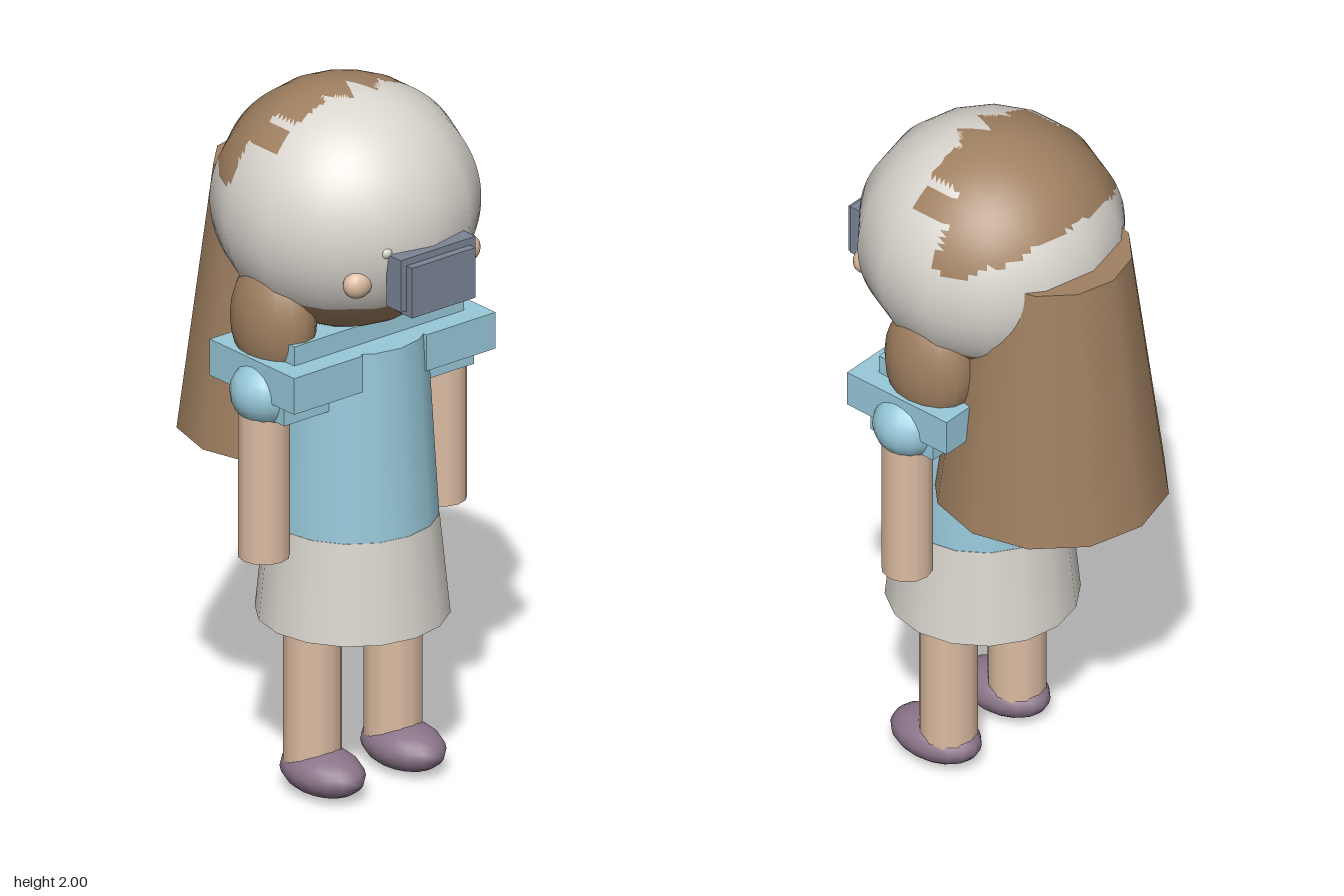
import * as THREE from 'three';

const mat = (name, color) => {
  const m = new THREE.MeshStandardMaterial({ color });
  m.name = name;
  return m;
};

export function createModel() {
  const group = new THREE.Group();
  const white = mat('offWhite', 0xdad6cf);
  const brown = mat('hairBrown', 0xa08061);
  const blue = mat('shirtBlue', 0x98c9da);
  const skin = mat('skin', 0xdcbca2);
  const purple = mat('shoePurple', 0x8b7589);
  const slate = mat('gogglesSlate', 0x7c8596);

  const add = (name, geo, material, x, y, z) => {
    const mesh = new THREE.Mesh(geo, material);
    mesh.name = name;
    mesh.position.set(x, y, z);
    group.add(mesh);
    return mesh;
  };
  const box = (name, m, x0, x1, y0, y1, z0, z1) =>
    add(name, new THREE.BoxGeometry(x1 - x0, y1 - y0, z1 - z0), m,
      (x0 + x1) / 2, (y0 + y1) / 2, (z0 + z1) / 2);
  const ball = (name, m, x, y, z, rx, ry, rz) =>
    add(name, new THREE.SphereGeometry(1, 16, 12), m, x, y, z).scale.set(rx, ry, rz);
  const column = (name, m, x, y0, y1, z, rTop, rBottom, sides = 12) =>
    add(name, new THREE.CylinderGeometry(rTop, rBottom, y1 - y0, sides), m, x, (y0 + y1) / 2, z);

  // Head: fourteen-sided in plan, with brown crown patch and underside
  const cx = 0.36, cy = 0.34, cz = 0.365, hy = 1.66, hz = 0.06;
  const head = new THREE.SphereGeometry(1, 84, 60);
  const p = head.attributes.position, step = Math.PI / 7;
  for (let i = 0; i < p.count; i++) {
    const x = p.getX(i), z = p.getZ(i);
    let a = Math.atan2(x, z) % step;
    if (a < 0) a += step;
    const k = Math.cos(step / 2) / Math.cos(a - step / 2);
    p.setXYZ(i, x * k * cx, p.getY(i) * cy, z * k * cz);
  }
  const isBrown = (x, y, z) => {
    if (y < 1.46) return true;
    if (y < 1.75) return false;
    if (z < -0.02) return (x / 0.33) ** 2 + (z / 0.245) ** 2 < 1;
    // Jagged fringe along the front of the crown
    const ax = Math.abs(x);
    const edge = ax < 0.04 ? 0.06 + ax * 2 : ax < 0.1 ? 0.14 - (ax - 0.04) * 1.1 : 0.1;
    const gap = ax > 0.2 && ax < 0.22 && z > 0;
    return ax < 0.27 && z < edge && !gap;
  };
  const sets = [[], []];
  const index = head.index.array;
  for (let i = 0; i < index.length; i += 3) {
    const tri = [index[i], index[i + 1], index[i + 2]];
    const mean = (get) => (get(tri[0]) + get(tri[1]) + get(tri[2])) / 3;
    const b = isBrown(mean(j => p.getX(j)), mean(j => p.getY(j)) + hy, mean(j => p.getZ(j)) + hz);
    sets[b ? 1 : 0].push(...tri);
  }
  head.setIndex([...sets[0], ...sets[1]]);
  head.addGroup(0, sets[0].length, 0);
  head.addGroup(sets[0].length, sets[1].length, 1);
  add('head', head, [white, brown], 0, hy, hz);

  // Long hair behind
  column('backHair', brown, 0, 0.95, 1.71, -0.15, 0.22, 0.32);

  // Body
  column('shirt', blue, 0, 0.76, 1.3, 0.09, 0.2, 0.232, 16);
  column('skirt', white, 0, 0.48, 0.765, 0.09, 0.233, 0.262, 16);
  box('yoke', blue, -0.295, 0.295, 1.23, 1.355, -0.02, 0.2);

  for (const s of [-1, 1]) {
    const side = s > 0 ? 'left' : 'right';
    const pairBox = (name, m, x0, x1, ...rest) =>
      box(side + name, m, Math.min(s * x0, s * x1), Math.max(s * x0, s * x1), ...rest);
    // Side hair and shoulders
    ball(side + 'SideHair', brown, s * 0.25, 1.38, 0.06, 0.1, 0.18, 0.137);
    pairBox('ShoulderFrill', blue, 0.11, 0.35, 1.195, 1.3, -0.085, 0.265);
    pairBox('LowerFrill', blue, 0.175, 0.33, 1.135, 1.25, -0.02, 0.2);
    ball(side + 'Sleeve', blue, s * 0.3, 1.195, 0.09, 0.1, 0.093, 0.098);
    // Limbs
    column(side + 'Arm', skin, s * 0.308, 0.72, 1.2, 0.09, 0.07, 0.07);
    column(side + 'Leg', skin, s * 0.14, 0.06, 0.52, 0.09, 0.08, 0.08);
    ball(side + 'Shoe', purple, s * 0.14, 0.065, 0.133, 0.095, 0.065, 0.14);
    // Face details
    ball(side + 'Cheek', skin, s * 0.188, 1.553, 0.335, 0.044, 0.04, 0.033);
  }

  // Goggles
  box('gogglesBody', slate, -0.13, 0.13, 1.49, 1.64, 0.385, 0.445);
  box('gogglesFront', slate, -0.11, 0.11, 1.475, 1.62, 0.4, 0.468);
  ball('gogglesKnob', white, -0.132, 1.645, 0.385, 0.017, 0.017, 0.017);

  return group;
}
